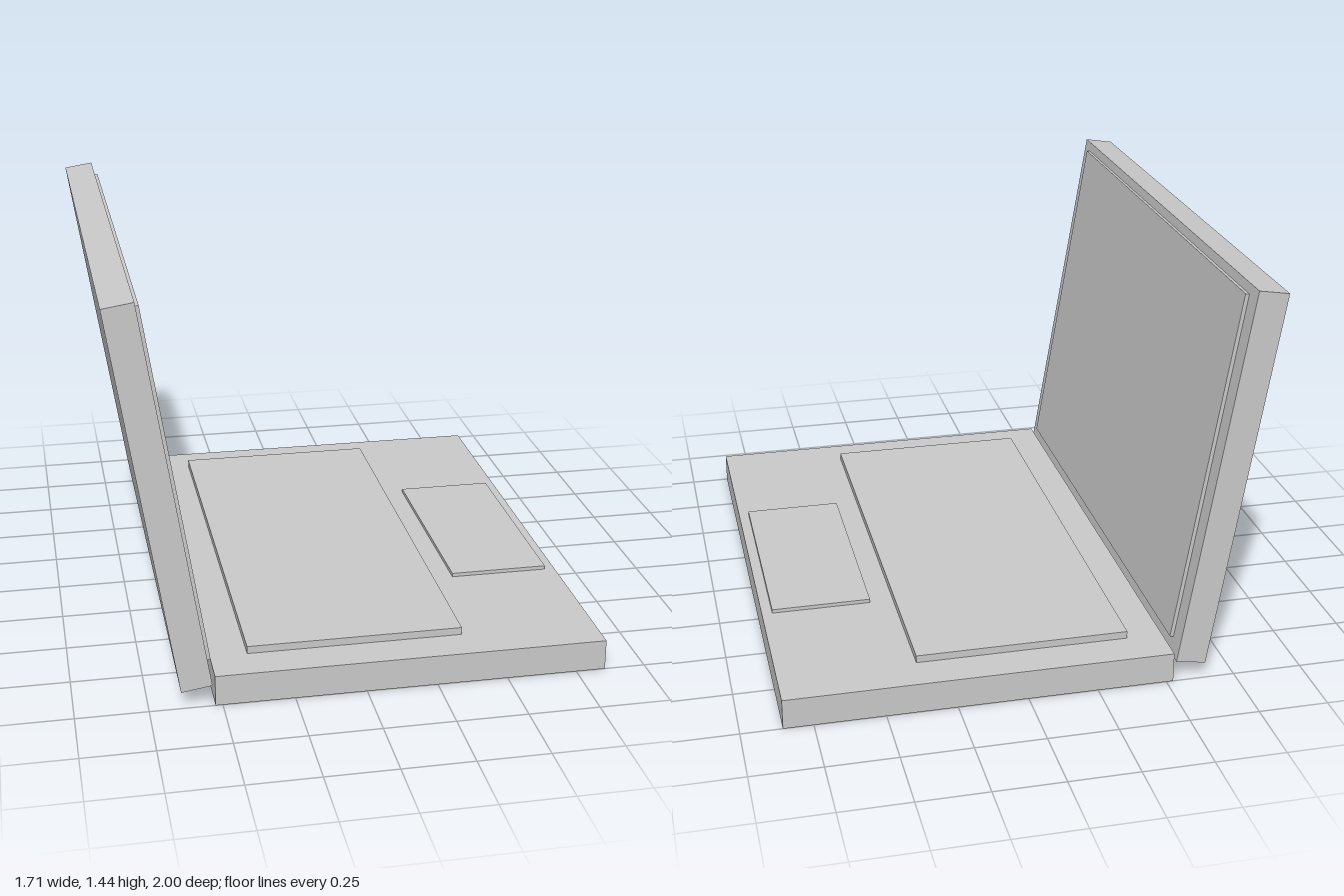
import * as THREE from 'three';

const material = new THREE.MeshStandardMaterial({ color: 0xcccccc, flatShading: true });

// Box given by its size and centre
function box(name, [w, h, d], [x, y, z]) {
  const mesh = new THREE.Mesh(new THREE.BoxGeometry(w, h, d), material);
  mesh.name = name;
  mesh.position.set(x, y, z);
  return mesh;
}

export function createModel() {
  const model = new THREE.Group();
  model.name = 'laptop';

  // Base slab with raised keyboard and touchpad
  model.add(
    box('base', [1.38, 0.11, 2], [0.165, 0.055, 0]),
    box('keyboard', [0.764, 0.04, 1.722], [-0.013, 0.117, 0]),
    box('touchpad', [0.362, 0.03, 0.82], [0.636, 0.109, 0])
  );

  // Lid leaning back, with the screen panel standing slightly proud
  const lid = new THREE.Group();
  lid.name = 'lid';
  lid.position.set(-0.695, 0.7485, 0);
  lid.rotation.z = THREE.MathUtils.degToRad(9);
  lid.add(
    box('lidShell', [0.108, 1.377, 2], [0, 0, 0]),
    box('screen', [0.03, 1.281, 1.86], [0.0525, 0.0137, 0])
  );
  model.add(lid);

  return model;
}
